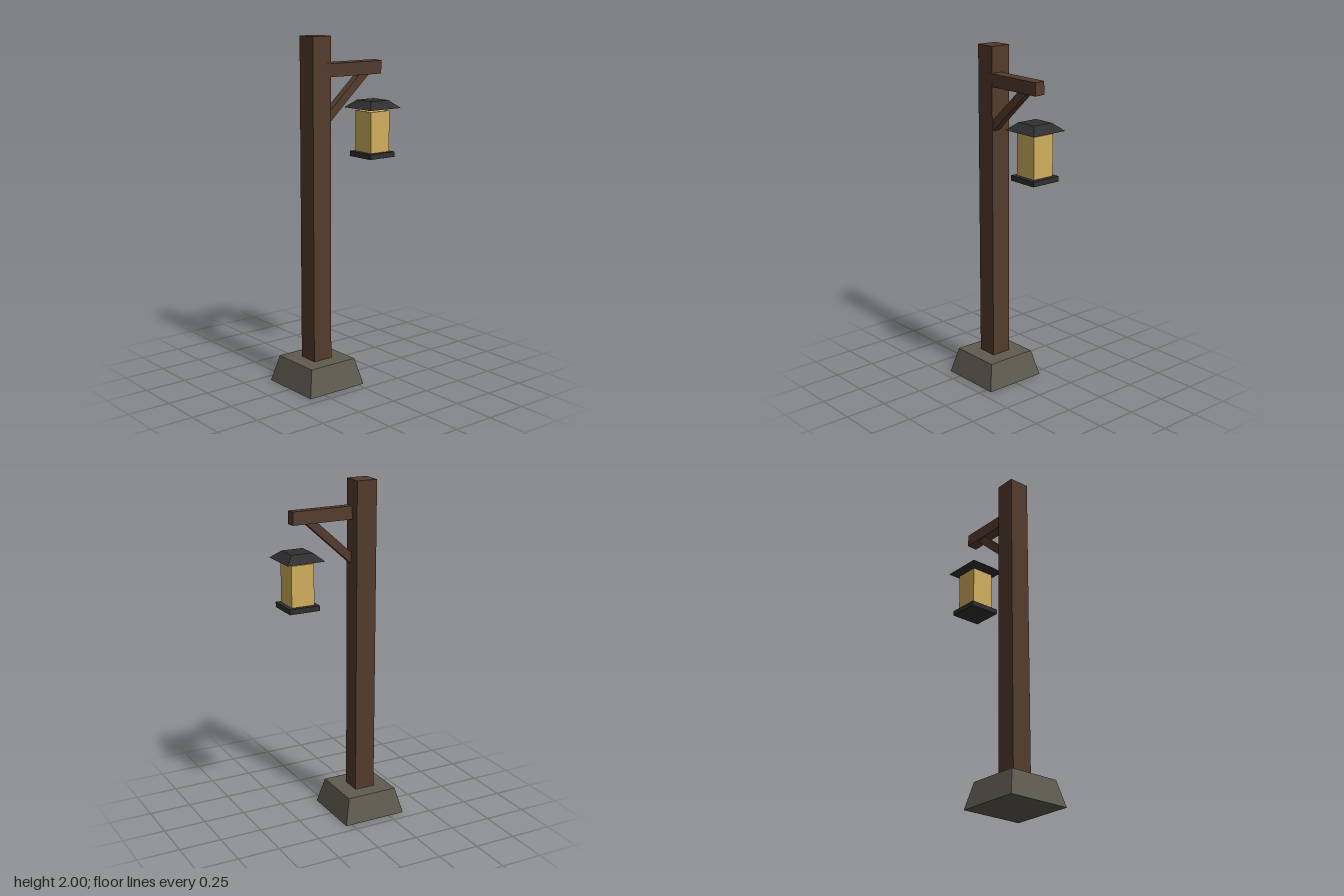
import * as THREE from 'three';

const material = (name, color) => {
  const m = new THREE.MeshStandardMaterial({ color });
  m.name = name;
  return m;
};

// Box whose top can be narrower than its bottom; y is the height of its underside
function block(name, mat, [w, h, d], [x, y, z], topW = w, topD = d) {
  const geo = new THREE.BoxGeometry(w, h, d);
  const p = geo.attributes.position;
  for (let i = 0; i < p.count; i++) {
    if (p.getY(i) > 0) p.setXYZ(i, Math.sign(p.getX(i)) * topW / 2, h / 2, Math.sign(p.getZ(i)) * topD / 2);
  }
  geo.computeVertexNormals();
  const mesh = new THREE.Mesh(geo, mat);
  mesh.name = name;
  mesh.position.set(x, y + h / 2, z);
  return mesh;
}

export function createModel() {
  const wood = material('dark wood', 0x543b2d);
  const stone = material('grey stone', 0x5f5b50);
  const metal = material('black metal', 0x2f2f31);
  const glass = material('amber glass', 0xd0ae5d);

  const model = new THREE.Group();
  model.name = 'lanternPost';

  // Tapered footing and slightly crooked post
  model.add(block('stoneBase', stone, [0.384, 0.153, 0.384], [-0.155, 0, 0], 0.309, 0.309));
  const post = block('post', wood, [0.122, 1.86, 0.122], [-0.156, 0.14, -0.002]);
  post.rotation.y = -0.015;
  model.add(post);

  // Crossarm with a diagonal brace below it
  const arm = block('crossarm', wood, [0.42, 0.075, 0.063], [0.057, 1.776, 0.029]);
  arm.rotation.set(0.05, -0.008, 0);
  model.add(arm);
  const brace = block('brace', wood, [0.38, 0.047, 0.045], [0.02, 1.637, 0.03]);
  brace.rotation.z = 0.735;
  model.add(brace);

  // Lantern: floor plate, glass body and flared roof
  const lantern = new THREE.Group();
  lantern.name = 'lantern';
  lantern.position.set(0.23, 0, 0.03);
  lantern.add(
    block('lanternFloor', metal, [0.184, 0.03, 0.184], [0, 1.297, 0]),
    block('lanternGlass', glass, [0.138, 0.236, 0.138], [0, 1.328, 0]),
    block('lanternRoof', metal, [0.23, 0.044, 0.23], [0, 1.58, 0], 0.128, 0.128),
  );
  model.add(lantern);
  return model;
}
